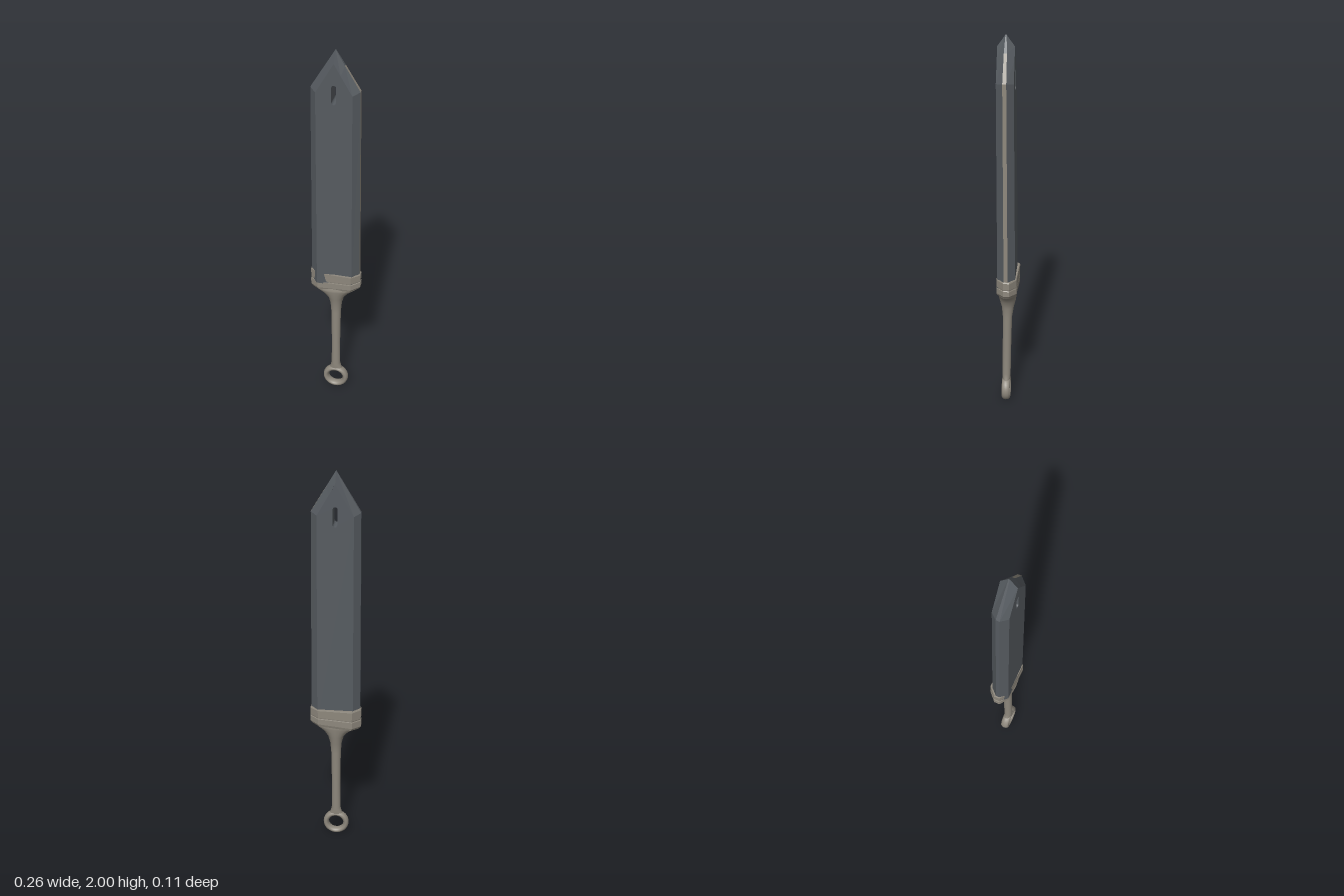
import * as THREE from 'three';

const steel = new THREE.MeshStandardMaterial({ color: 0x565b60 });
steel.name = 'dark steel';
const bone = new THREE.MeshStandardMaterial({ color: 0x8e887d });
bone.name = 'weathered grey wrap';

function mesh(name, geometry, material) {
  const m = new THREE.Mesh(geometry, material);
  m.name = name;
  return m;
}

// Blade leans and thins very slightly toward the tip
function leanBlade(g) {
  const p = g.attributes.position;
  for (let i = 0; i < p.count; i++) {
    const t = (p.getY(i) - 0.7) / 1.3;
    p.setZ(i, p.getZ(i) * (1 - 0.08 * t) + 0.003 + 0.007 * t);
  }
  g.computeVertexNormals();
  return g;
}

// Flat-shaded band of quads joining two matching loops of [x, y, z]
function band(front, back, keep = () => true) {
  const v = [];
  front.forEach((a, i) => {
    if (!keep(i)) return;
    const j = (i + 1) % front.length;
    v.push(...a, ...back[i], ...back[j], ...a, ...back[j], ...front[j]);
  });
  const g = new THREE.BufferGeometry();
  g.setAttribute('position', new THREE.Float32BufferAttribute(v, 3));
  return leanBlade(g);
}

// Skin over rings stacked from low to high y
function loft(rings, capped) {
  const n = rings[0].length, v = rings.flat(2), idx = [];
  for (let r = 0; r < rings.length - 1; r++) {
    for (let i = 0; i < n; i++) {
      const j = (i + 1) % n, a = r * n, b = a + n;
      idx.push(a + i, b + i, b + j, a + i, b + j, a + j);
    }
  }
  if (capped) {
    const top = (rings.length - 1) * n;
    for (let i = 1; i < n - 1; i++) idx.push(0, i, i + 1, top, top + i + 1, top + i);
  }
  const g = new THREE.BufferGeometry();
  g.setAttribute('position', new THREE.Float32BufferAttribute(v, 3));
  g.setIndex(idx);
  g.computeVertexNormals();
  return g;
}

function makeBlade() {
  const blade = new THREE.Group();
  blade.name = 'blade';
  const D = 0.045;
  const flip = (loop) => loop.map(([x, y, z]) => [x, y, -z]);

  // Outer cutting edge and inner flat, anticlockwise from the lower right
  const edge = [[0.124, 0.7, 0.01], [0.119, 1.8, 0.01], [0.045, 1.924, 0.008],
    [0, 2, 0.003], [-0.119, 1.8, 0.01], [-0.124, 0.7, 0.01]];
  const flat = [[0.09, 0.7, D], [0.088, 1.79, D], [0.033, 1.887, D],
    [0, 1.945, D], [-0.088, 1.79, D], [-0.09, 0.7, D]];

  // Rounded slot, clockwise
  const slot = [];
  for (let i = 0; i < 16; i++) {
    const a = -((i + 0.5) / 16) * Math.PI * 2;
    slot.push([0.012 * Math.cos(a), 1.785 + 0.012 * Math.sin(a) + (Math.sin(a) > 0 ? 0.038 : -0.038), D]);
  }

  const to2 = (loop) => loop.map(([x, y]) => new THREE.Vector2(x, y));
  const shape = new THREE.Shape(to2(flat));
  shape.holes.push(new THREE.Path(to2(slot)));
  const face = new THREE.ShapeGeometry(shape).toNonIndexed().translate(0, 0, D);
  const backFace = face.clone().rotateY(Math.PI);

  const striped = (i) => i < 2;
  blade.add(
    mesh('frontFlat', leanBlade(face), steel),
    mesh('backFlat', leanBlade(backFace), steel),
    mesh('frontBevel', band(flat, edge), steel),
    mesh('backBevel', band(flip(edge), flip(flat)), steel),
    mesh('edge', band(edge, flip(edge), (i) => !striped(i)), steel),
    mesh('wornEdge', band(edge, flip(edge), striped), bone),
    mesh('slotWall', band(slot, flip(slot)), steel)
  );
  return blade;
}

function makeCollar() {
  // Six-sided sleeve with blunt side edges: [y, scale, slant]
  const outline = [[0.129, -0.015], [0.129, 0.015], [0.087, 0.053], [-0.087, 0.047],
    [-0.129, 0.015], [-0.129, -0.015], [-0.087, -0.055], [0.087, -0.049]];
  const rows = [[0.664, 0.93, 0.08], [0.677, 1, 0.08], [0.708, 1, 0.05], [0.712, 0.975, 0.05],
    [0.717, 0.99, 0.05], [0.76, 1, 0], [0.766, 0.97, 0]];
  const rings = rows.map(([y, s, slant]) => outline.map(([x, z]) => [x * s, y + slant * x, z * s]));
  const g = loft(rings, true).toNonIndexed();
  g.computeVertexNormals();
  return mesh('collar', g, bone);
}

function makeGrip() {
  // Flared oval grip: [y, half width, half depth, z centre]
  const rows = [[0.118, 0.036, 0.019, 0.009], [0.135, 0.029, 0.021, 0.009], [0.16, 0.023, 0.022, 0.009],
    [0.3, 0.022, 0.022, 0.007], [0.5, 0.025, 0.024, 0.004], [0.56, 0.03, 0.031, 0.002],
    [0.6, 0.041, 0.041, 0.002], [0.63, 0.066, 0.046, 0.003], [0.65, 0.098, 0.049, 0.003],
    [0.662, 0.114, 0.05, 0.003], [0.685, 0.116, 0.045, 0]];
  const n = 24;
  const rings = rows.map(([y, w, d, c]) => Array.from({ length: n }, (_, i) => {
    const a = (i / n) * Math.PI * 2;
    const slant = y > 0.6 ? 0.06 : 0;
    return [w * Math.cos(a), y + slant * w * Math.cos(a), c + d * Math.sin(a)];
  }));
  return mesh('grip', loft(rings, false), bone);
}

export function createModel() {
  const model = new THREE.Group();
  model.name = 'ringHandledBlade';

  // Ring pommel, slightly deeper than wide in section
  const ring = mesh('ringPommel', new THREE.TorusGeometry(0.0525, 0.0145, 12, 36), bone);
  ring.scale.z = 1.5;
  ring.position.set(0, 0.067, 0.01);

  model.add(makeBlade(), makeCollar(), makeGrip(), ring);
  return model;
}
